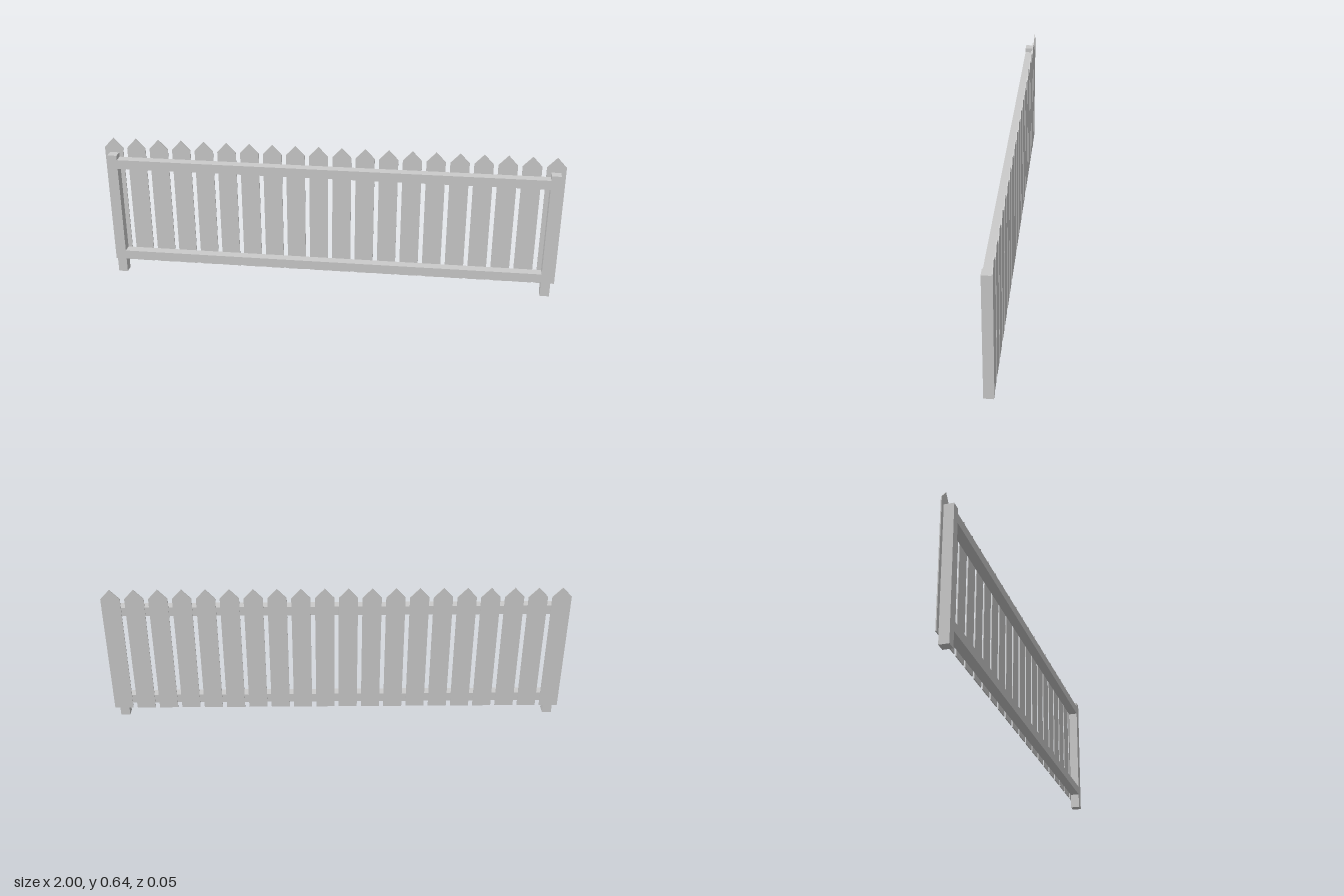
import * as THREE from 'three';

const material = new THREE.MeshStandardMaterial({ color: 0xcccccc, flatShading: true });

export function createModel() {
  const fence = new THREE.Group();
  fence.name = 'picketFence';

  const beam = 0.041;          // square section of posts and rails
  const beamZ = 0.002;
  const postX = 0.958;

  const addBox = (name, w, h, x, y) => {
    const mesh = new THREE.Mesh(new THREE.BoxGeometry(w, h, beam), material);
    mesh.name = name;
    mesh.position.set(x, y, beamZ);
    fence.add(mesh);
  };

  // End posts
  const postHeight = 0.575;
  addBox('leftPost', beam, postHeight, postX, postHeight / 2);
  addBox('rightPost', beam, postHeight, -postX, postHeight / 2);

  // Rails running between the posts, flush with them
  const railLength = 2 * postX - beam;
  addBox('topRail', railLength, beam, 0, 0.534);
  addBox('bottomRail', railLength, beam, 0, 0.087);

  // Thin pointed pickets on the back
  const count = 20, half = 0.041, thickness = 0.004;
  const bottom = 0.042, shoulder = 0.598, tip = 0.642;
  const outline = new THREE.Shape([
    new THREE.Vector2(-half, bottom),
    new THREE.Vector2(half, bottom),
    new THREE.Vector2(half, shoulder),
    new THREE.Vector2(0, tip),
    new THREE.Vector2(-half, shoulder),
  ]);
  const picketGeometry = new THREE.ExtrudeGeometry(outline, { depth: thickness, bevelEnabled: false });
  const reach = 1 - half;
  for (let i = 0; i < count; i++) {
    const picket = new THREE.Mesh(picketGeometry, material);
    picket.name = `picket${i + 1}`;
    picket.position.set(-reach + (2 * reach * i) / (count - 1), 0, -0.0225);
    fence.add(picket);
  }

  return fence;
}
